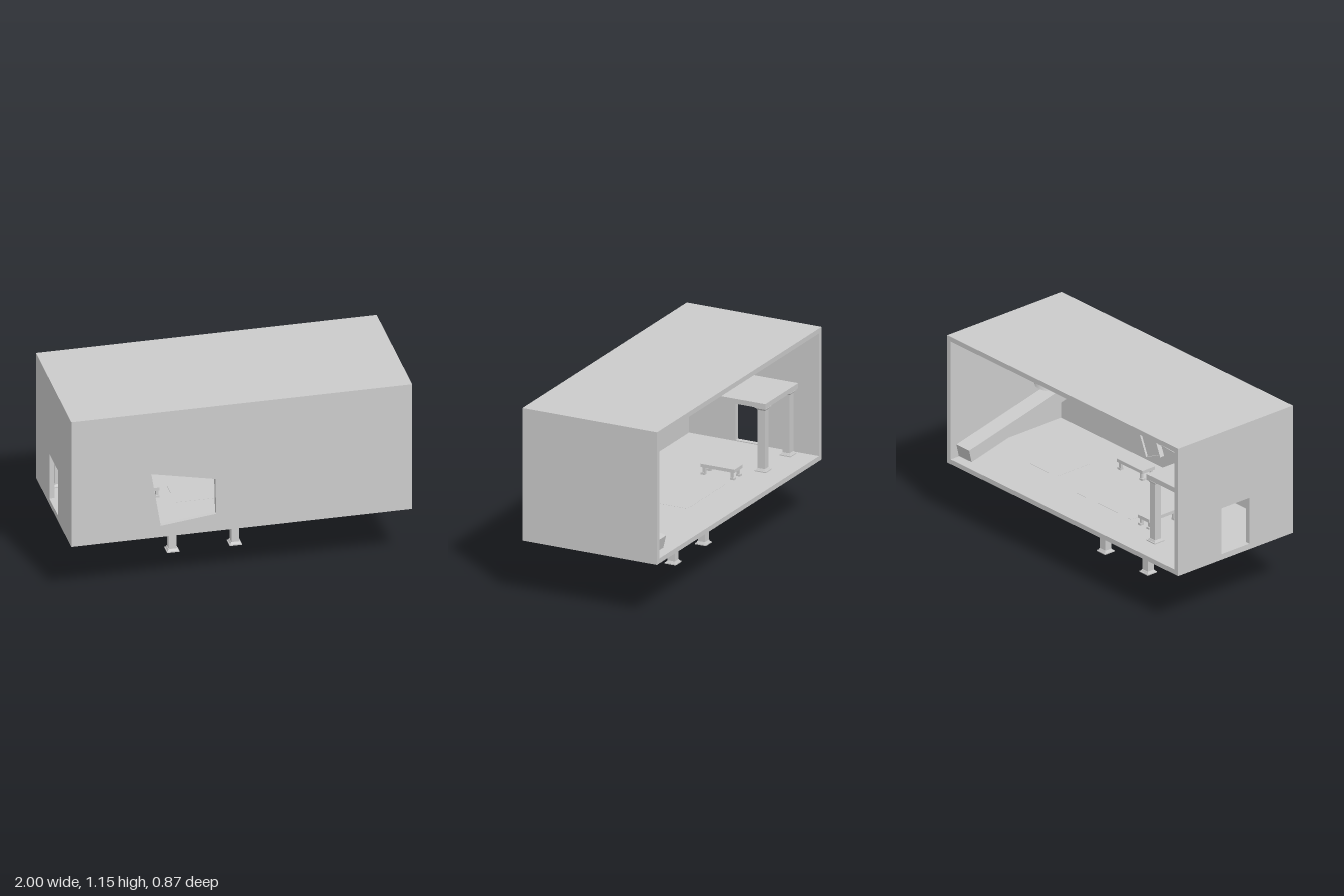
import * as THREE from 'three';

const mat = new THREE.MeshStandardMaterial({ color: 0xcccccc, flatShading: true });
const smooth = new THREE.MeshStandardMaterial({ color: 0xcccccc });

const FLOOR = 0.38;
const CENTRE_Z = -0.045;

export function createModel() {
  const root = new THREE.Group();

  const add = (name, geometry, x = 0, y = 0, z = 0, parent = root, material = mat) => {
    const mesh = new THREE.Mesh(geometry, material);
    mesh.name = name;
    mesh.position.set(x, y, z);
    parent.add(mesh);
    return mesh;
  };
  // Box given by its lower and upper corners
  const slab = (name, a, b, parent) =>
    add(name, new THREE.BoxGeometry(b[0] - a[0], b[1] - a[1], b[2] - a[2]),
      (a[0] + b[0]) / 2, (a[1] + b[1]) / 2, (a[2] + b[2]) / 2, parent);
  const polygon = (Type, pts) => new Type(pts.map(([x, y]) => new THREE.Vector2(x, y)));
  const wall = (outline, hole) => {
    const shape = polygon(THREE.Shape, outline);
    shape.holes.push(polygon(THREE.Path, hole));
    return new THREE.ExtrudeGeometry(shape, { depth: 0.03, bevelEnabled: false });
  };

  // Shell, open at the back
  slab('floor', [-1, 0.35, -0.435], [1, FLOOR, 0.435]);
  slab('roof', [-1, 1.125, -0.435], [1, 1.155, 0.435]);
  slab('leftWall', [0.97, FLOOR, -0.435], [1, 1.125, 0.435]);
  add('frontWall', wall(
    [[-0.97, FLOOR], [0.97, FLOOR], [0.97, 1.125], [-0.97, 1.125]],
    [[-0.53, 0.762], [-0.475, 0.422], [-0.15, 0.46], [-0.155, 0.685]]), 0, 0, 0.405);
  const rightWall = wall(
    [[-0.435, FLOOR], [0.435, FLOOR], [0.435, 1.125], [-0.435, 1.125]],
    [[-0.105, 0.385], [-0.105, 0.675], [0.105, 0.675], [0.105, 0.385]]);
  add('rightWallWithDoorway', rightWall.rotateY(-Math.PI / 2), -0.97);

  // Flush panels let into the floor
  slab('squareFloorPanel', [0.4, 0.349, -0.13], [0.63, 0.381, 0.12]);
  slab('longFloorPanel', [-0.31, 0.349, -0.185], [0.16, 0.381, 0.1]);

  // Square posts with stepped, tapered ends
  const taper = (top, bottom, h) =>
    new THREE.CylinderGeometry(top * Math.SQRT1_2, bottom * Math.SQRT1_2, h, 4).rotateY(Math.PI / 4);
  const post = (name, x, z, y0, y1) => {
    const g = new THREE.Group();
    g.name = name;
    g.position.set(x, 0, z);
    slab('shaft', [-0.023, y0, -0.023], [0.023, y1, 0.023], g);
    for (const [y, s] of [[y0, 1], [y1, -1]]) {
      add('plate', new THREE.BoxGeometry(0.072, 0.006, 0.072), 0, y + s * 0.003, 0, g);
      const flare = s > 0 ? taper(0.05, 0.062, 0.012) : taper(0.062, 0.05, 0.012);
      add('flare', flare, 0, y + s * 0.012, 0, g);
    }
    root.add(g);
  };
  for (const x of [-0.296, 0.071]) post('supportLeg', x, CENTRE_Z, 0, 0.35);

  // Raised platform in the corner
  slab('platform', [-0.97, 0.77, -0.3], [-0.57, 0.8, 0.405]);
  for (const x of [-0.61, -0.91]) post('platformPost', x, -0.265, FLOOR, 0.77);

  // Sloping beam along the left wall
  const start = new THREE.Vector3(0.895, 0.435, -0.4);
  const end = new THREE.Vector3(0.895, 0.62, 0.38);
  const middle = start.clone().add(end).multiplyScalar(0.5);
  const beam = add('slopingBeam', new THREE.BoxGeometry(0.11, 0.08, start.distanceTo(end)),
    middle.x, middle.y, middle.z);
  beam.rotation.x = -Math.atan2(end.y - start.y, end.z - start.z);

  // Cone lamp and its slack cable
  add('coneLamp', new THREE.ConeGeometry(0.1, 0.235, 32), 0.54, 1.0075, CENTRE_Z, root, smooth);
  const cablePath = new THREE.CatmullRomCurve3(
    [[0.54, 1.1], [0.07, 0.935], [-0.18, 0.868], [-0.69, 0.83], [-0.97, 0.84]]
      .map(([x, y]) => new THREE.Vector3(x, y, CENTRE_Z)));
  add('cable', new THREE.TubeGeometry(cablePath, 32, 0.003, 6), 0, 0, 0, root, smooth);

  // Low benches
  const bench = (x, z, turn) => {
    const g = new THREE.Group();
    g.name = 'bench';
    g.position.set(x, FLOOR, z);
    g.rotation.y = turn;
    slab('benchTop', [-0.11, 0.045, -0.048], [0.11, 0.065, 0.048], g);
    for (const sx of [-1, 1]) for (const sz of [-1, 1]) {
      add('benchLeg', new THREE.BoxGeometry(0.016, 0.046, 0.016), sx * 0.09, 0.023, sz * 0.036, g);
      add('benchFoot', new THREE.BoxGeometry(0.026, 0.012, 0.022), sx * 0.095, 0.006, sz * 0.036, g);
    }
    root.add(g);
  };
  bench(0.14, 0.245, 0);
  bench(-0.43, -0.09, Math.PI / 2);

  // Tilted picture frame at the front wall
  const frame = new THREE.Group();
  frame.name = 'tiltedFrame';
  frame.position.set(0.18, 0.52, 0.385);
  frame.rotation.z = -0.41;
  const rect = (w, h) => [[-w, -h], [w, -h], [w, h], [-w, h]];
  add('frameBorder', wall(rect(0.07, 0.097), rect(0.058, 0.085)), 0, 0, -0.012, frame);
  add('framePanel', new THREE.BoxGeometry(0.118, 0.172, 0.01), 0, 0, 0.006, frame);
  root.add(frame);

  return root;
}
